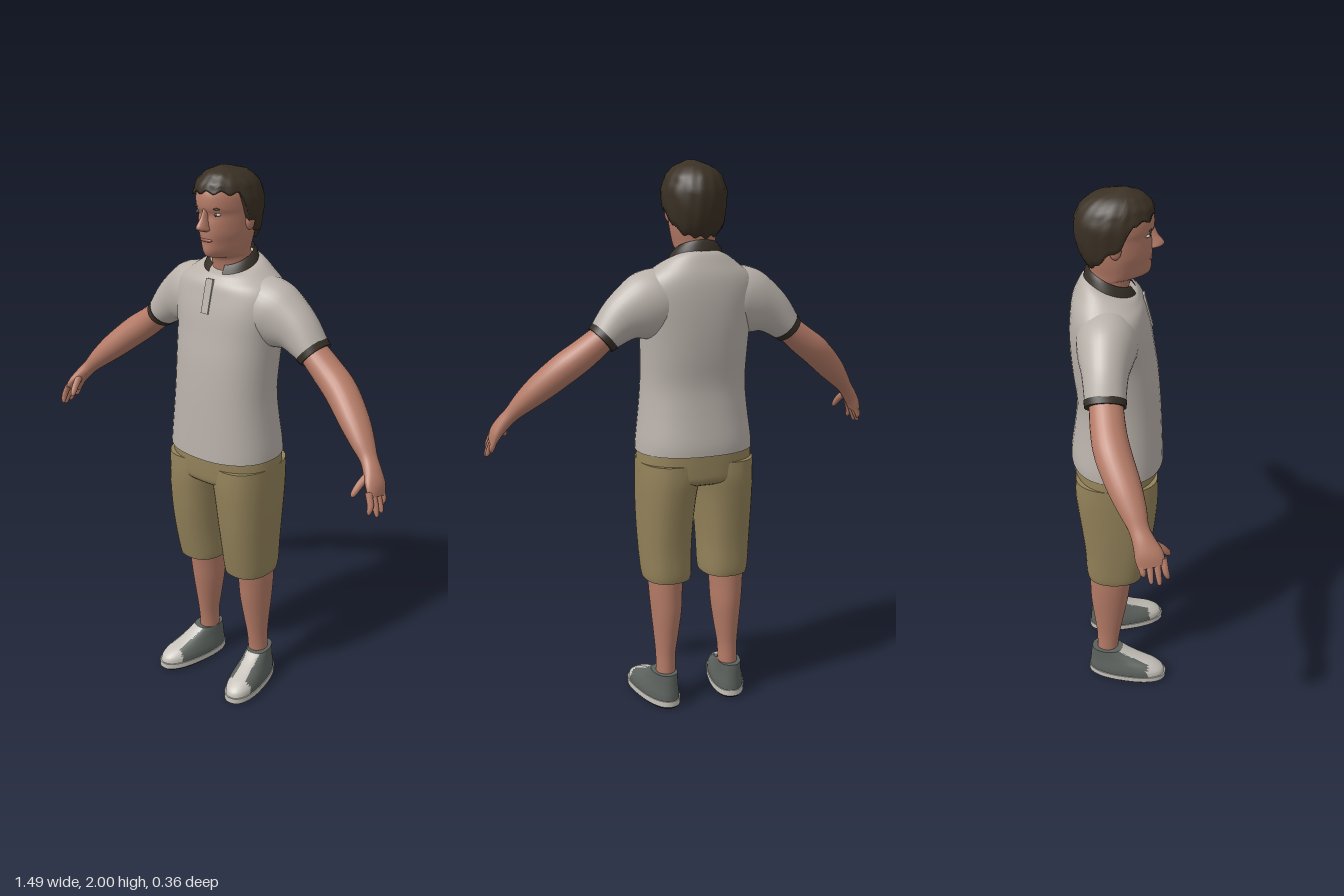
import * as THREE from 'three';

const V = (x, y, z) => new THREE.Vector3(x, y, z);
const paint = (name, color) => Object.assign(new THREE.MeshStandardMaterial({ color }), { name });

// Smooth in-between rows for a short table of cross-sections
function refine(rows, sub) {
  const out = [], n = rows.length;
  for (let i = 0; i < n - 1; i++) {
    const a = rows[Math.max(0, i - 1)], b = rows[i], c = rows[i + 1], d = rows[Math.min(n - 1, i + 2)];
    for (let k = 0; k < sub; k++) {
      const t = k / sub;
      out.push(b.map((q, j) => q + 0.5 * t * (c[j] - a[j] + t * (2 * a[j] - 5 * q + 4 * c[j] - d[j]
        + t * (3 * (q - c[j]) + d[j] - a[j])))));
    }
  }
  out.push(rows[n - 1]);
  return out;
}

// Closed skin over rings of points; pick(centre) may send faces to a second material
function skinRings(name, rings, mats, pick) {
  const n = rings[0].length, pts = rings.flat(), lists = [[], []];
  const face = (a, b, c) => {
    const m = pts[a].clone().add(pts[b]).add(pts[c]).divideScalar(3);
    lists[pick && pick(m) ? 1 : 0].push([a, b, c]);
  };
  for (let i = 0; i < rings.length - 1; i++) for (let j = 0; j < n; j++) {
    const a = i * n + j, b = i * n + (j + 1) % n;
    face(a, b, b + n);
    face(a, b + n, a + n);
  }
  [rings[0], rings[rings.length - 1]].forEach((ring, end) => {
    const base = pts.length, mid = V(0, 0, 0);
    ring.forEach(p => { mid.add(p); pts.push(p.clone()); });
    pts.push(mid.divideScalar(n));
    for (let j = 0; j < n; j++) {
      const a = base + j, b = base + (j + 1) % n;
      end ? face(a, b, base + n) : face(b, a, base + n);
    }
  });
  // turn the faces outward
  let volume = 0;
  for (const [a, b, c] of lists.flat()) volume += pts[a].dot(pts[b].clone().cross(pts[c]));
  if (volume < 0) lists.flat().forEach(f => f.reverse());
  const geo = new THREE.BufferGeometry().setFromPoints(pts);
  geo.setIndex(lists.flat(2));
  if (pick) {
    geo.addGroup(0, lists[0].length * 3, 0);
    geo.addGroup(lists[0].length * 3, lists[1].length * 3, 1);
  }
  geo.computeVertexNormals();
  const mesh = new THREE.Mesh(geo, mats);
  mesh.name = name;
  return mesh;
}

// Level sections: [y, centre x, half width, front z, back z, front taper, tilt]
function stack(name, rows, mats, power = 1, pick, sub = 4) {
  const bend = c => Math.sign(c) * Math.abs(c) ** power;
  const rings = refine(rows.map(r => [...r, 0, 0].slice(0, 7)), sub).map(([y, cx, hw, zf, zb, taper, tilt]) =>
    Array.from({ length: 40 }, (_, i) => {
      const a = i / 40 * Math.PI * 2, s = bend(Math.sin(a)), c = bend(Math.cos(a));
      return V(cx + hw * s * (1 - taper * Math.max(0, c)), y + tilt * c, (zf + zb) / 2 + (zf - zb) / 2 * c);
    }));
  return skinRings(name, rings, mats, pick);
}

// Limb along a path: [x, y, z, radius across, radius in depth]
function limb(name, rows, mat, segs = 24, sub = 4) {
  const r = refine(rows, sub), pos = r.map(p => V(p[0], p[1], p[2]));
  const rings = r.map((p, i) => {
    const t = pos[Math.min(i + 1, r.length - 1)].clone().sub(pos[Math.max(i - 1, 0)]).normalize();
    const b = V(0, 0, 1).addScaledVector(t, -t.z).normalize(), u = b.clone().cross(t);
    return Array.from({ length: segs }, (_, j) => {
      const a = j / segs * Math.PI * 2;
      return pos[i].clone().addScaledVector(u, p[3] * Math.cos(a)).addScaledVector(b, p[4] * Math.sin(a));
    });
  });
  return skinRings(name, rings, mat);
}

function blob(name, mat, p, s) {
  const mesh = new THREE.Mesh(new THREE.SphereGeometry(1, 18, 12).scale(...s).translate(...p), mat);
  mesh.name = name;
  return mesh;
}

function mirrored(mesh) {
  const geo = mesh.geometry.clone().scale(-1, 1, 1), ix = geo.index;
  for (let i = 0; i < ix.count; i += 3) {
    const a = ix.getX(i);
    ix.setX(i, ix.getX(i + 2));
    ix.setX(i + 2, a);
  }
  const copy = new THREE.Mesh(geo, mesh.material);
  copy.name = mesh.name.replace('left', 'right');
  return copy;
}

export function createModel() {
  const skin = paint('skin', 0xb57b67), shirt = paint('shirt', 0xb9b1aa), khaki = paint('khaki', 0x93825a);
  const hairMat = paint('hair', 0x3a3024), trim = paint('trim', 0x362f27), grey = paint('shoe grey', 0x5c625e);
  const white = paint('off white', 0xc6c2ba), black = paint('sole black', 0x232323), lip = paint('lips', 0x9c5f52);
  trim.side = THREE.DoubleSide;
  const model = new THREE.Group();
  const pair = mesh => model.add(mesh, mirrored(mesh));

  // Head and neck
  model.add(stack('head', [
    [1.58, 0, .075, .02, -.10], [1.65, 0, .068, .03, -.10], [1.695, 0, .066, .045, -.10, .1],
    [1.705, 0, .07, .09, -.10, .5], [1.725, 0, .075, .104, -.10, .45], [1.755, 0, .082, .105, -.105, .35],
    [1.785, 0, .087, .108, -.11, .25], [1.82, 0, .09, .107, -.115, .2], [1.85, 0, .092, .103, -.12, .15],
    [1.876, 0, .093, .113, -.125, .12], [1.92, 0, .092, .11, -.125, .1], [1.955, 0, .072, .085, -.10],
    [1.98, 0, .03, .03, -.05]], skin, .92));
  model.add(stack('nose', [
    [1.87, 0, .008, .113, .08], [1.84, 0, .011, .127, .08], [1.815, 0, .017, .146, .08],
    [1.803, 0, .02, .138, .08], [1.795, 0, .013, .115, .08]], skin));
  model.add(blob('mouth', lip, [0, 1.765, .1], [.026, .007, .009]));
  pair(blob('left ear', skin, [.094, 1.825, -.015], [.012, .032, .02]));
  pair(blob('left eye', white, [.038, 1.853, .088], [.014, .006, .01]));
  pair(blob('left iris', trim, [.038, 1.853, .095], [.005, .0055, .005]));
  pair(blob('left eyebrow', hairMat, [.038, 1.873, .098], [.02, .004, .006]));

  // Hair: rings rising from an uneven hairline to the crown
  const hairline = [[0, 1.925], [1.15, 1.915], [1.4, 1.83], [1.65, 1.82], [1.9, 1.785], [2.4, 1.75], [3.2, 1.742]];
  const outline = [[1.73, .078, .05, -.10], [1.78, .10, .09, -.132], [1.84, .11, .112, -.147], [1.9, .112, .12, -.15],
    [1.95, .095, .108, -.127], [1.98, .064, .078, -.085], [2, .01, .03, 0]];
  const look = (table, x) => {
    let i = 0;
    while (i < table.length - 2 && x > table[i + 1][0]) i++;
    const a = table[i], b = table[i + 1], t = THREE.MathUtils.clamp((x - a[0]) / (b[0] - a[0]), 0, 1);
    return a.map((q, j) => q + (b[j] - q) * t);
  };
  const hairRings = [];
  for (let k = -1; k <= 16; k++) hairRings.push(Array.from({ length: 72 }, (_, i) => {
    const a = i / 72 * Math.PI * 2, v = Math.max(0, k) / 16;
    const low = look(hairline, Math.min(a, Math.PI * 2 - a))[1] + .012 * Math.sin(a) * Math.max(0, Math.cos(a))
      + .006 * Math.sin(13 * a);
    const y = low + (2 - low) * Math.sin(v * Math.PI / 2), [, hw, zf, zb] = look(outline, y);
    const r = (k < 0 ? .8 : 1) * (1 + .018 * Math.sin(11 * a + 9 * v) * Math.cos(5 * a - 14 * v));
    return V(hw * r * Math.sin(a), y, (zf + zb) / 2 + (zf - zb) / 2 * r * Math.cos(a));
  }));
  model.add(skinRings('hair', hairRings, hairMat));

  // Shirt body, collar and placket
  model.add(stack('shirt body', [
    [.985, 0, .215, .16, -.175], [1.03, 0, .212, .158, -.174], [1.13, 0, .2, .153, -.16],
    [1.23, 0, .192, .147, -.152], [1.34, 0, .194, .137, -.164], [1.43, 0, .2, .123, -.171],
    [1.51, 0, .213, .11, -.172], [1.57, 0, .215, .095, -.168], [1.61, 0, .195, .085, -.16, 0, -.005],
    [1.64, 0, .155, .072, -.145, 0, -.015], [1.665, 0, .115, .058, -.128, 0, -.025],
    [1.675, 0, .08, .035, -.108, 0, -.03]], shirt, .88));
  const collarPts = [], collarIx = [], collarSegs = 40;
  for (let i = 0; i <= collarSegs; i++) {
    const a = .32 + (Math.PI * 2 - .64) * i / collarSegs, s = Math.sin(a), c = Math.cos(a);
    const point = Math.max(0, c) ** 3 * .02;
    collarPts.push(V(.106 * s, 1.645 - .04 * c - point, -.024 + .098 * c),
      V(.092 * s, 1.685 - .036 * c, -.03 + .085 * c), V(.078 * s, 1.702 - .034 * c, -.033 + .072 * c));
    if (i) for (let k = 0; k < 2; k++) {
      const q = i * 3 + k;
      collarIx.push(q - 3, q, q + 1, q - 3, q + 1, q - 2);
    }
  }
  const collarGeo = new THREE.BufferGeometry().setFromPoints(collarPts).setIndex(collarIx);
  collarGeo.computeVertexNormals();
  const collar = new THREE.Mesh(collarGeo, trim);
  collar.name = 'collar';
  const placket = new THREE.Mesh(new THREE.BoxGeometry(.03, .12, .008), shirt);
  placket.position.set(0, 1.57, .096);
  placket.rotation.x = -.25;
  placket.name = 'placket';
  model.add(collar, placket);

  // Sleeves, arms and hands
  pair(limb('left sleeve', [[.09, 1.535, -.04, .105, .1], [.155, 1.522, -.042, .118, .104],
    [.21, 1.503, -.047, .113, .094], [.28, 1.47, -.05, .083, .076], [.352, 1.405, -.05, .054, .066]], shirt, 32));
  pair(limb('left sleeve cuff', [[.339, 1.417, -.05, .06, .07], [.356, 1.402, -.05, .055, .068]], trim, 32, 1));
  pair(limb('left arm', [[.31, 1.44, -.05, .043, .054], [.41, 1.36, -.042, .052, .058],
    [.48, 1.308, -.027, .054, .06], [.56, 1.238, .008, .048, .055], [.615, 1.185, .035, .037, .044],
    [.652, 1.145, .052, .027, .033], [.68, 1.112, .068, .025, .037], [.703, 1.078, .083, .021, .046],
    [.716, 1.045, .092, .013, .044]], skin));
  [[.06, .066, 1.01, .724], [.083, .09, .992, .735], [.106, .116, .987, .735], [.128, .142, 1, .722]].forEach(([z0, z1, y, x]) =>
    pair(limb('left finger', [[.706, 1.07, z0, .011, .012], [.722, 1.03, (z0 + z1) / 2, .011, .011],
      [x, y + .008, z1, .008, .008], [x, y, z1, .004, .004]], skin, 10, 2)));
  pair(limb('left thumb', [[.678, 1.112, .085, .013, .014], [.668, 1.082, .122, .013, .013],
    [.661, 1.055, .144, .01, .01], [.659, 1.046, .15, .004, .004]], skin, 10, 2));

  // Shorts
  model.add(stack('shorts hips', [[.865, 0, .17, .1, -.125], [.885, 0, .208, .135, -.16],
    [.93, 0, .214, .141, -.165], [1.01, 0, .207, .142, -.165]], khaki, .85));
  pair(stack('left shorts leg', [[.5, .112, .086, .085, -.122], [.53, .113, .09, .092, -.127],
    [.62, .115, .093, .11, -.131], [.72, .114, .098, .126, -.142], [.82, .11, .104, .136, -.155],
    [.89, .104, .11, .139, -.162], [.95, .104, .108, .136, -.16]], khaki, .85));

  // Legs
  pair(stack('left leg', [[.06, .128, .036, -.008, -.09], [.13, .126, .036, -.008, -.09],
    [.2, .125, .037, 0, -.091], [.28, .122, .046, .014, -.1], [.37, .12, .056, .03, -.111],
    [.45, .121, .061, .04, -.114], [.55, .12, .066, .055, -.118]], skin));

  // Shoes, toes turned outward
  const shoe = [
    stack('left shoe tread', [[0, 0, .058, .175, -.118], [.008, 0, .064, .184, -.124]], black, .85, null, 1),
    stack('left shoe sole', [[.008, 0, .065, .185, -.125], [.03, 0, .065, .185, -.125]], white, .85, null, 1),
    stack('left shoe upper', [[.03, 0, .062, .18, -.122], [.05, 0, .061, .172, -.121], [.07, 0, .056, .142, -.119],
      [.09, 0, .05, .09, -.117], [.11, 0, .046, .045, -.115], [.13, 0, .043, .01, -.112]],
    [grey, white], .88, m => m.z > .118 || (Math.abs(m.x) < .026 && m.z > 0), 6)];
  shoe.forEach(part => {
    part.geometry.rotateY(.2).translate(.143, 0, 0);
    pair(part);
  });
  return model;
}
